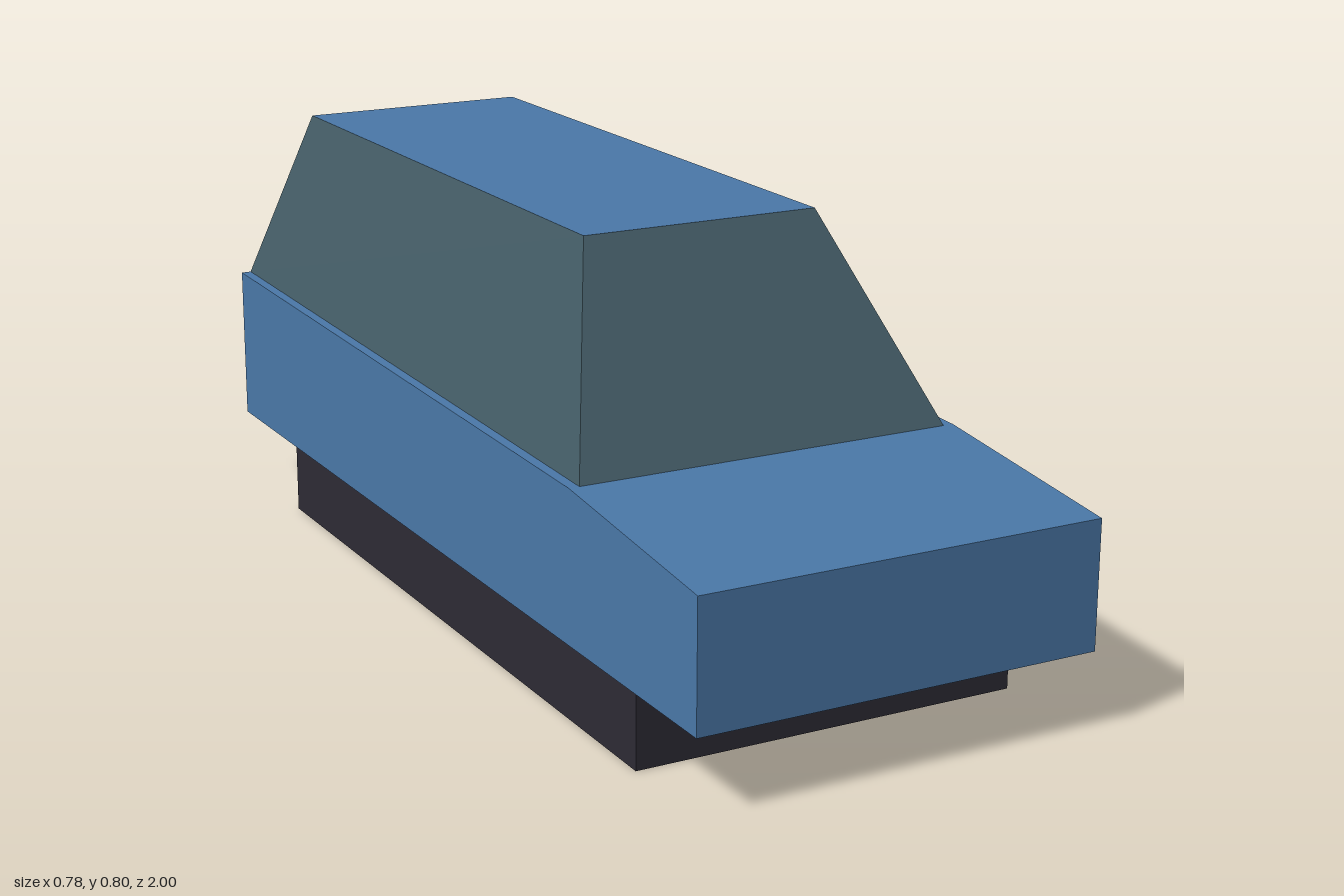
import * as THREE from 'three';

const material = (name, color) => {
  const m = new THREE.MeshStandardMaterial({ color, side: THREE.DoubleSide });
  m.name = name;
  return m;
};

// Flat-shaded mesh from four-cornered panels, corners counter-clockwise from outside
function panels(name, quads, mat) {
  const pos = quads.flatMap(([a, b, c, d]) => [a, b, c, a, c, d].flat());
  const geo = new THREE.BufferGeometry();
  geo.setAttribute('position', new THREE.Float32BufferAttribute(pos, 3));
  geo.computeVertexNormals();
  const mesh = new THREE.Mesh(geo, mat);
  mesh.name = name;
  return mesh;
}

// Rectangle of corners starting front right; height may differ front and back
const ring = (x, zFront, zBack, yFront, yBack = yFront) => [
  [-x, yFront, zFront], [x, yFront, zFront], [x, yBack, zBack], [-x, yBack, zBack],
];

// Side panels joining a lower loop to an upper one
const walls = (low, high) => low.map((p, i) => {
  const j = (i + 1) % low.length;
  return [p, low[j], high[j], high[i]];
});

export function createModel() {
  const blue = material('bodyBlue', 0x4a78a8);
  const slate = material('windowSlate', 0x435b65);
  const dark = material('baseDark', 0x2d2b35);
  const car = new THREE.Group();
  car.name = 'car';

  // Body shell: sloped bonnet, nearly level deck, open underneath
  const w = 0.39, sill = 0.149;
  const bonnet = ring(w, 1, 0.56, 0.389, 0.434);
  const deck = ring(w, 0.56, -1, 0.434, 0.463);
  const rim = [bonnet[0], bonnet[1], bonnet[2], deck[2], deck[3], bonnet[3]];
  const lower = rim.map(([x, , z]) => [x, sill, z]);
  car.add(panels('body', [...walls(lower, rim), bonnet, deck], blue));

  // Cabin: tapered windows on all sides under a flat roof
  const cabinFoot = ring(0.37, 0.56, -1, 0.434, 0.463);
  const cabinTop = ring(0.237, 0.32, -0.945, 0.803);
  car.add(panels('cabinWindows', walls(cabinFoot, cabinTop), slate));
  car.add(panels('roof', [cabinTop], blue));

  // Base skirt: open frame below the body
  const skirt = (y) => ring(0.377, 0.775, -0.742, y);
  car.add(panels('baseSkirt', walls(skirt(0), skirt(sill)), dark));

  return car;
}
